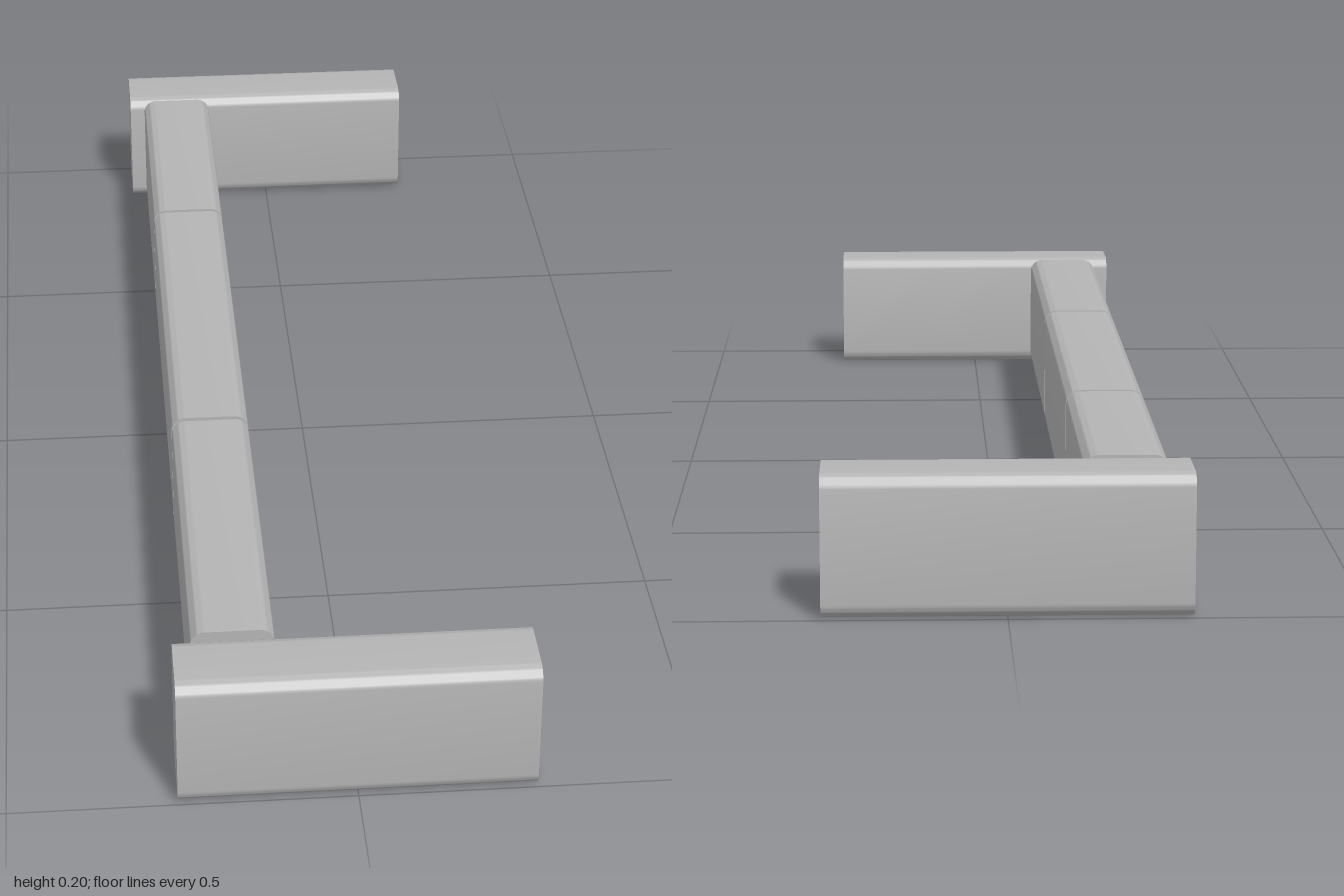
import * as THREE from 'three';
import { toCreasedNormals } from 'three/addons/utils/BufferGeometryUtils.js';

const HEIGHT = 0.203, THICK = 0.122, RADIUS = 0.022;

// Bar along z with a rounded rectangular section and flat ends, centred on z and standing on y = 0
function barGeometry(length) {
  const w = THICK / 2, h = HEIGHT, r = RADIUS;
  const s = new THREE.Shape();
  s.moveTo(w, r);
  s.lineTo(w, h - r);
  s.absarc(w - r, h - r, r, 0, Math.PI / 2);
  s.absarc(-w + r, h - r, r, Math.PI / 2, Math.PI);
  s.absarc(-w + r, r, r, Math.PI, Math.PI * 1.5);
  s.absarc(w - r, r, r, Math.PI * 1.5, Math.PI * 2);
  const g = new THREE.ExtrudeGeometry(s, { depth: length, bevelEnabled: false, curveSegments: 5 });
  g.translate(0, 0, -length / 2);
  return toCreasedNormals(g, Math.PI / 5);
}

export function createModel() {
  const group = new THREE.Group();
  const stone = new THREE.MeshStandardMaterial({ color: 0xb4b4b4 });
  stone.name = 'stone grey';

  const addBar = (name, length, x, z, turn = 0) => {
    const mesh = new THREE.Mesh(barGeometry(length), stone);
    mesh.name = name;
    mesh.position.set(x, 0, z);
    mesh.rotation.y = turn;
    group.add(mesh);
  };

  // Crosswise bars at both ends
  addBar('frontEndBar', 0.515, 0, 1 - THICK / 2, Math.PI / 2);
  addBar('backEndBar', 0.515, 0, -1 + THICK / 2, Math.PI / 2);

  // Three lengthwise bars with narrow joints between them
  const spans = [
    ['backLongBar', -0.878, -0.427],
    ['middleLongBar', -0.419, 0.284],
    ['frontLongBar', 0.293, 0.869],
  ];
  for (const [name, z0, z1] of spans) addBar(name, z1 - z0, -0.17, (z0 + z1) / 2);

  return group;
}
